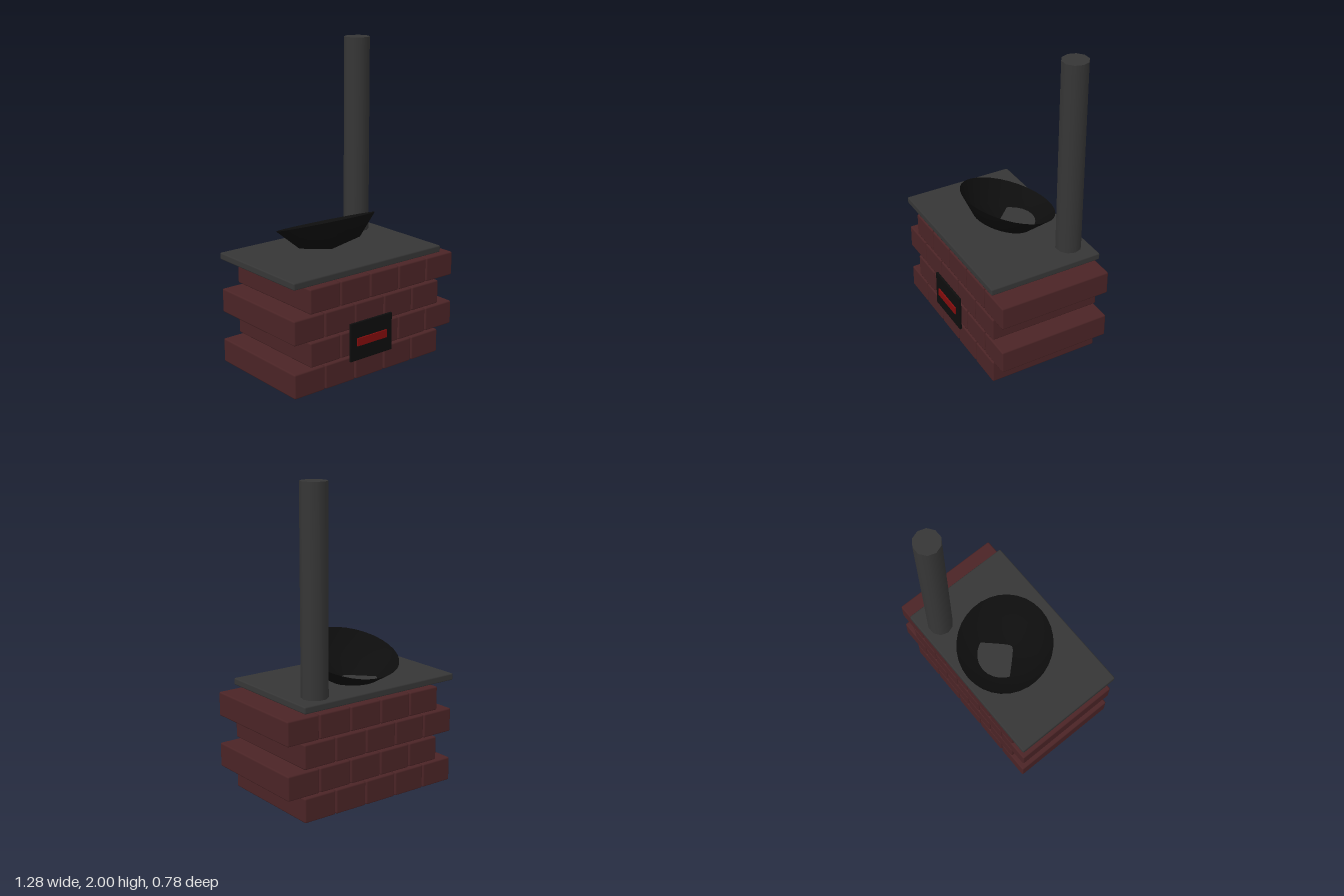
import * as THREE from 'three';
import { RoundedBoxGeometry } from 'three/addons/geometries/RoundedBoxGeometry.js';

const material = (name, color, extra = {}) => {
  const m = new THREE.MeshStandardMaterial({ color, ...extra });
  m.name = name;
  return m;
};

export function createModel() {
  const brickRed = material('brick red', 0x4b2426);
  const darkGrey = material('dark grey', 0x363636);
  const black = material('iron black', 0x0d0d0d, { side: THREE.DoubleSide });
  const ember = material('ember red', 0x820c0c);

  const model = new THREE.Group();
  model.name = 'brickStove';

  const add = (name, geometry, mat, x, y, z, parent = model) => {
    const mesh = new THREE.Mesh(geometry, mat);
    mesh.name = name;
    mesh.position.set(x, y, z);
    parent.add(mesh);
    return mesh;
  };

  // Four staggered courses of full-depth bricks
  const bricks = new THREE.Group();
  bricks.name = 'brickBase';
  model.add(bricks);
  const brick = new RoundedBoxGeometry(0.226, 0.156, 0.745, 1, 0.01);
  for (let row = 0; row < 4; row++) {
    const start = row % 2 ? -0.403 : -0.523;
    for (let i = 0; i < 5; i++) {
      add('brick', brick, brickRed, start + i * 0.2325, 0.079 + row * 0.167, -0.008, bricks);
    }
  }

  // Cooking slab
  add('topSlab', new RoundedBoxGeometry(1.164, 0.045, 0.762, 1, 0.009), darkGrey, -0.058, 0.7025, -0.009);

  // Chimney pipe
  const pipe = add('chimney', new THREE.CylinderGeometry(0.083, 0.083, 1.29, 10), darkGrey, 0.36, 1.355, -0.262);
  pipe.rotation.y = Math.PI / 2;

  // Shallow pan tilted backwards and sunk into the slab
  const profile = [[0.0001, -0.178], [0.195, -0.133], [0.316, 0]].map(([r, y]) => new THREE.Vector2(r, y));
  const pan = add('pan', new THREE.LatheGeometry(profile, 32), black, -0.058, 0.89, -0.066);
  pan.rotation.x = -Math.atan2(0.195, 0.6);

  // Fire door with a glowing slot
  add('fireDoor', new RoundedBoxGeometry(0.332, 0.246, 0.016, 1, 0.004), black, -0.057, 0.253, 0.373);
  add('fireSlot', new THREE.BoxGeometry(0.235, 0.05, 0.016), ember, -0.057, 0.251, 0.382);

  return model;
}
